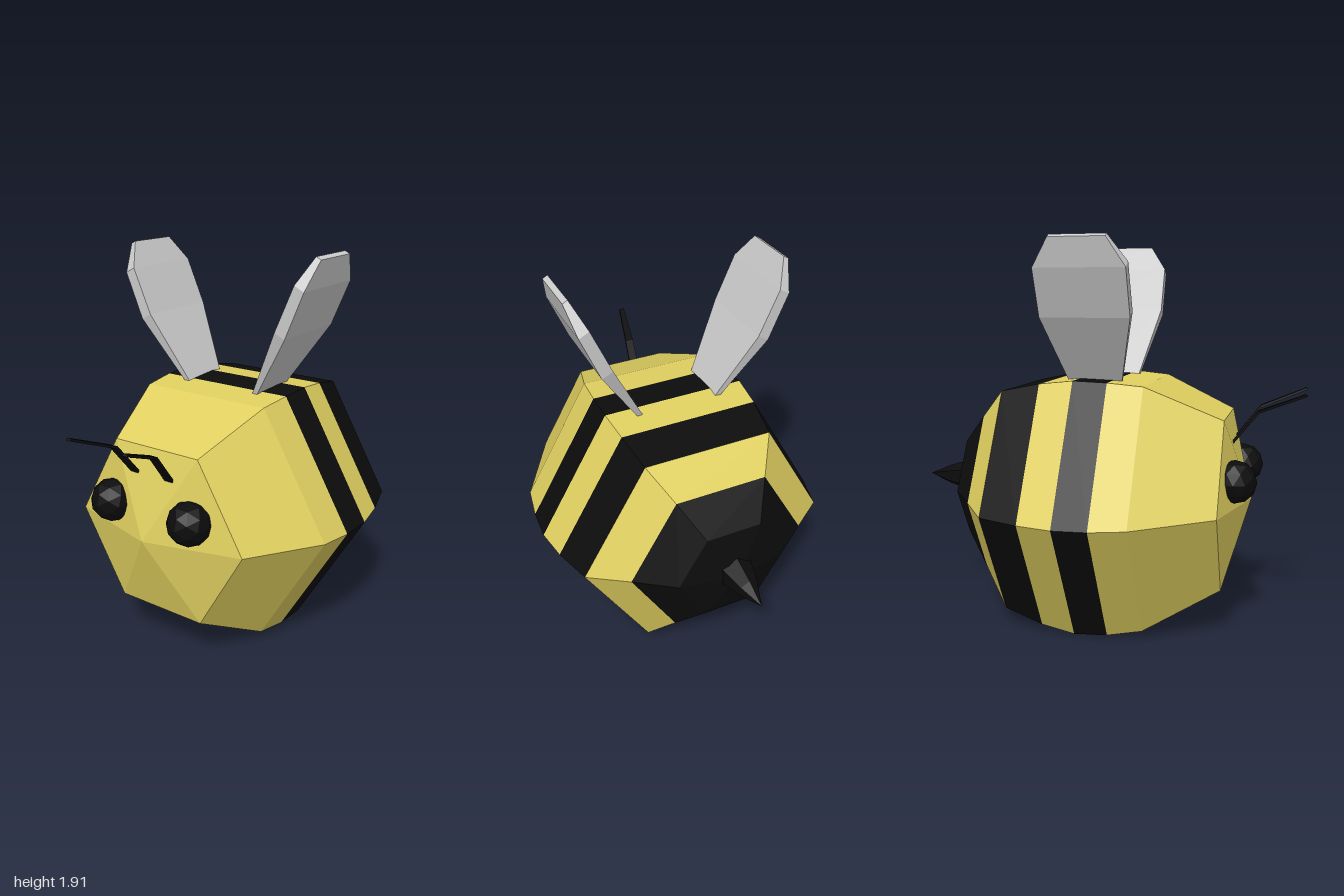
import * as THREE from 'three';

const mat = (color) => new THREE.MeshStandardMaterial({ color, flatShading: true });

// Skin through cross-sections (each a loop of [x, y, z], counter-clockwise seen
// from the start). startTip / endTip close the ends with a fan.
function loft(sections, startTip, endTip) {
  const pos = [];
  const tri = (a, b, c) => pos.push(...a, ...b, ...c);
  const n = sections[0].length;
  const last = sections.length - 1;
  for (let k = 0; k < n; k++) {
    const m = (k + 1) % n;
    for (let i = 0; i < last; i++) {
      const [s, t] = [sections[i], sections[i + 1]];
      tri(s[k], t[k], s[m]);
      tri(s[m], t[k], t[m]);
    }
    if (startTip) tri(startTip, sections[0][k], sections[0][m]);
    if (endTip) tri(endTip, sections[last][m], sections[last][k]);
  }
  const geo = new THREE.BufferGeometry();
  geo.setAttribute('position', new THREE.Float32BufferAttribute(pos, 3));
  geo.computeVertexNormals();
  return geo;
}

// Average of a loop, used to cap flat ends
const middle = (loop) => [0, 1, 2].map((j) => loop.reduce((s, p) => s + p[j], 0) / loop.length);
const cappedLoft = (sections) =>
  loft(sections, middle(sections[0]), middle(sections[sections.length - 1]));

// Rectangle around a centre with half-extent vectors u and v, optionally mirrored in x
function rect(c, u, v, side) {
  const loop = [[1, -1], [1, 1], [-1, 1], [-1, -1]].map(([a, b]) =>
    c.map((x, j) => (x + a * u[j] + b * v[j]) * (j === 0 ? side : 1)));
  return side < 0 ? loop.reverse() : loop;
}

// Hexagonal body ring
function hexRing([z, r, cy]) {
  return Array.from({ length: 6 }, (_, k) => {
    const a = (k * Math.PI) / 3;
    return [r * Math.cos(a), cy + r * Math.sin(a), z];
  });
}

export function createModel() {
  const model = new THREE.Group();
  model.name = 'bee';
  const yellow = mat(0xe0d060);
  const black = mat(0x0c0c0c);
  const grey = mat(0xcccccc);

  const add = (name, geo, material) => {
    const mesh = new THREE.Mesh(geo, material);
    mesh.name = name;
    model.add(mesh);
    return mesh;
  };

  // Body rings, front to back: z, radius, centre height
  const rings = [
    [0.615, 0.478, 0.655], [0.25, 0.687, 0.635], [0.08, 0.714, 0.627],
    [-0.085, 0.722, 0.626], [-0.255, 0.695, 0.63], [-0.455, 0.638, 0.638],
    [-0.59, 0.456, 0.655], [-0.725, 0.275, 0.665],
  ].map(hexRing);

  // Yellow and black bands
  add('head', loft(rings.slice(0, 3), [0, 0.65, 0.735]), yellow);
  add('frontStripe', loft(rings.slice(2, 4)), black);
  add('middleBand', loft(rings.slice(3, 5)), yellow);
  add('backStripe', loft(rings.slice(4, 6)), black);
  add('rearBand', loft(rings.slice(5, 7)), yellow);
  add('tail', loft(rings.slice(6), null, [0, 0.68, -0.79]), black);

  // Stinger
  const profile = [[0, 0], [0.085, 0], [0.05, 0.12], [0, 0.235]]
    .map(([x, y]) => new THREE.Vector2(x, y));
  const stinger = add('stinger', new THREE.LatheGeometry(profile, 6), black);
  stinger.rotation.x = -Math.PI / 2;
  stinger.position.set(0, 0.69, -0.765);

  for (const side of [1, -1]) {
    const label = side > 0 ? 'left' : 'right';

    // Eye
    const eye = add(label + 'Eye', new THREE.IcosahedronGeometry(0.105, 1), black);
    eye.position.set(side * 0.23, 0.78, 0.67);

    // Antenna: thin bent ribbon
    const antenna = [
      [0.1, 0.94, 0.64, 0.024], [0.115, 1.1, 0.765, 0.022], [0.16, 1.19, 0.985, 0.013],
    ].map(([x, y, z, w]) => rect([x, y, z], [w, 0, 0], [0, -0.005, 0.004], side));
    add(label + 'Antenna', cappedLoft(antenna), black);

    // Wing: x, y, half thickness, half width
    const wing = [
      [0.19, 1.215, 0.011, 0.125], [0.39, 1.56, 0.03, 0.215],
      [0.485, 1.78, 0.028, 0.215], [0.53, 1.905, 0.014, 0.132],
    ].map(([x, y, t, w]) =>
      rect([x, y, -0.012], [0.89 * t, -0.46 * t, 0], [0, 0, w], side));
    add(label + 'Wing', cappedLoft(wing), grey);
  }

  // Slight turn of the whole body
  model.rotation.y = -0.09;
  const root = new THREE.Group();
  root.name = 'model';
  root.add(model);
  return root;
}
